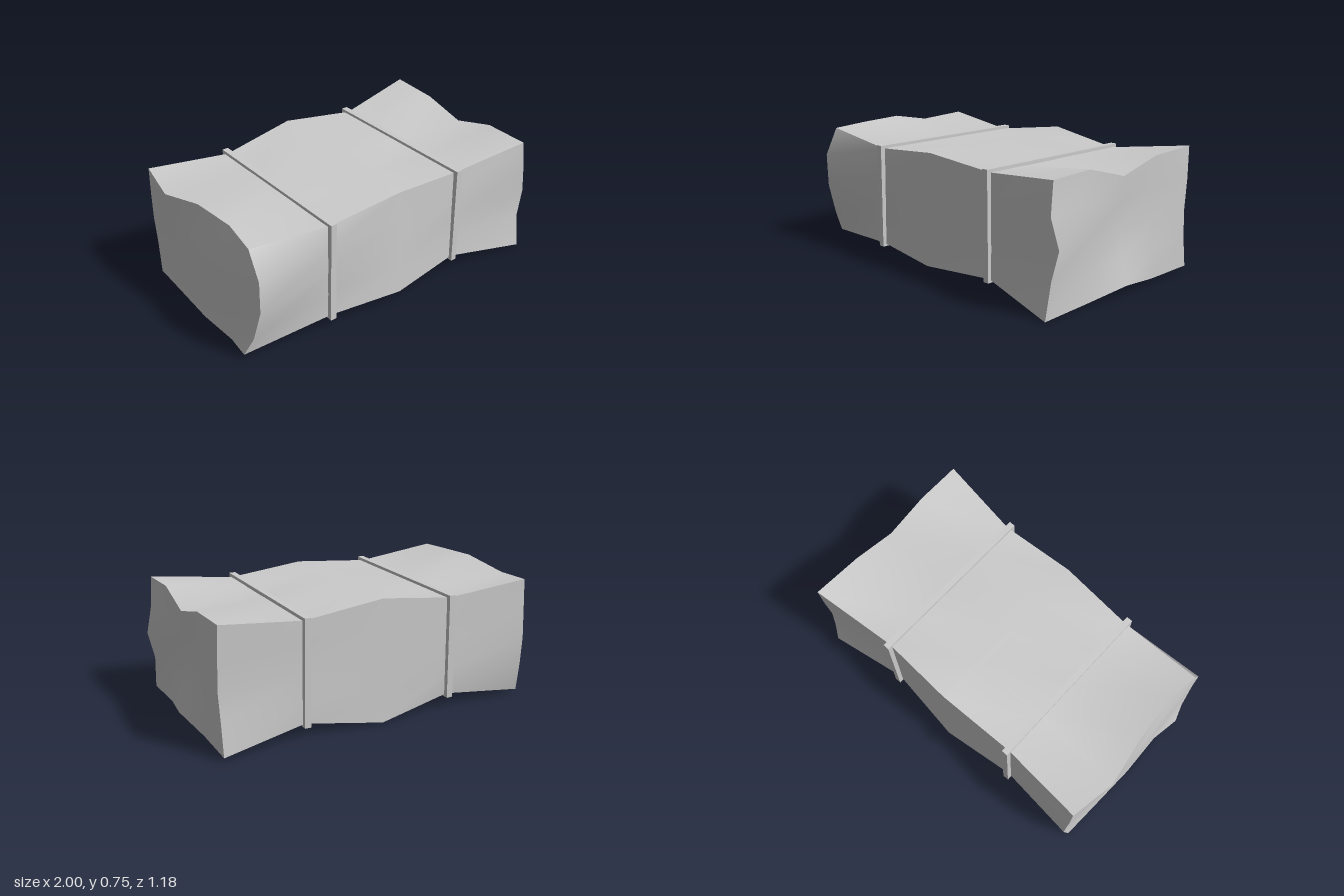
import * as THREE from 'three';

const lerp = THREE.MathUtils.lerp;

// Ragged ends: points [x, y, z]. Rows run back to front, sides bottom to top.
const rightEnd = {
  bottom: [[-0.96, 0.015, -0.53], [-0.97, 0.015, -0.28], [-0.98, 0.01, 0], [-0.97, 0.015, 0.27], [-1, 0.04, 0.44]],
  top: [[-0.955, 0.715, -0.55], [-1, 0.69, -0.28], [-0.955, 0.745, 0], [-0.93, 0.74, 0.27], [-0.955, 0.72, 0.48]],
  back: [[-0.945, 0.2, -0.57], [-0.95, 0.365, -0.575], [-0.955, 0.54, -0.56]],
  front: [[-0.97, 0.17, 0.5], [-0.955, 0.365, 0.555], [-0.955, 0.56, 0.56]],
  inner: [[-0.96, -0.97, -0.96], [-0.97, -0.99, -0.97], [-0.98, -0.97, -0.96]],
};
const leftEnd = {
  bottom: [[0.96, 0.02, -0.59], [0.955, 0.015, -0.28], [1, 0.055, 0], [0.955, 0.013, 0.26], [0.955, 0, 0.59]],
  top: [[0.96, 0.73, -0.575], [0.955, 0.715, -0.27], [0.955, 0.645, 0], [0.95, 0.72, 0.27], [0.955, 0.71, 0.545]],
  back: [[0.96, 0.2, -0.565], [0.965, 0.365, -0.55], [0.965, 0.54, -0.565]],
  front: [[0.96, 0.2, 0.555], [1, 0.365, 0.545], [0.96, 0.53, 0.565]],
  inner: [[0.955, 0.96, 0.955], [0.95, 0.93, 0.955], [0.955, 0.945, 0.955]],
};

// Straight sections by their corners [y, z]
const pinch = { bb: [0.075, -0.51], bf: [0.075, 0.495], tb: [0.66, -0.51], tf: [0.66, 0.49] };
const belly = { bb: [0.005, -0.56], bf: [0.05, 0.545], tb: [0.725, -0.54], tf: [0.7, 0.51] };

function endPoint(end, j, k) {
  if (j === 0) return end.bottom[k];
  if (j === 4) return end.top[k];
  if (k === 0) return end.back[j - 1];
  if (k === 4) return end.front[j - 1];
  const t = j / 4;
  return [
    end.inner[j - 1][k - 1],
    lerp(end.bottom[k][1], end.top[k][1], t),
    lerp(end.bottom[k][2], end.top[k][2], t),
  ];
}

function sectionPoint(x, s, j, k) {
  const at = (c) => lerp(lerp(s.bb[c], s.bf[c], k / 4), lerp(s.tb[c], s.tf[c], k / 4), j / 4);
  return [x, at(0), at(1)];
}

// Bale: a gridded box whose five cross-sections are reshaped
function baleGeometry() {
  const geo = new THREE.BoxGeometry(1, 1, 1, 4, 4, 4);
  const pos = geo.attributes.position;
  const cell = (v) => Math.round((v + 0.5) * 4);
  for (let n = 0; n < pos.count; n++) {
    const i = cell(pos.getX(n)), j = cell(pos.getY(n)), k = cell(pos.getZ(n));
    let p;
    if (i === 0) p = endPoint(rightEnd, j, k);
    else if (i === 4) p = endPoint(leftEnd, j, k);
    else if (i === 2) p = sectionPoint(0, belly, j, k);
    else p = sectionPoint(i === 1 ? -0.46 : 0.46, pinch, j, k);
    pos.setXYZ(n, ...p);
  }
  geo.computeVertexNormals(); // smooth within a side, sharp between sides
  return geo;
}

// Strap: rectangular band around the bale
function strapGeometry(width) {
  const rect = (Type, z0, z1, y0, y1) => new Type([
    new THREE.Vector2(z0, y0), new THREE.Vector2(z1, y0),
    new THREE.Vector2(z1, y1), new THREE.Vector2(z0, y1),
  ]);
  const shape = rect(THREE.Shape, -0.52, 0.54, 0.06, 0.68);
  shape.holes.push(rect(THREE.Path, -0.485, 0.505, 0.085, 0.65));
  const geo = new THREE.ExtrudeGeometry(shape, { depth: width, bevelEnabled: false });
  geo.translate(0, 0, -width / 2);
  geo.rotateY(Math.PI / 2); // shape x becomes -z
  return geo;
}

export function createModel() {
  const group = new THREE.Group();
  group.name = 'strappedBale';
  const material = new THREE.MeshStandardMaterial({ color: 0xcccccc });

  const bale = new THREE.Mesh(baleGeometry(), material);
  bale.name = 'bale';
  group.add(bale);

  const band = strapGeometry(0.037);
  for (const [name, x] of [['rightStrap', -0.463], ['leftStrap', 0.458]]) {
    const strap = new THREE.Mesh(band, material);
    strap.name = name;
    strap.position.x = x;
    strap.rotation.z = x < 0 ? -0.01 : 0.01;
    group.add(strap);
  }
  return group;
}
